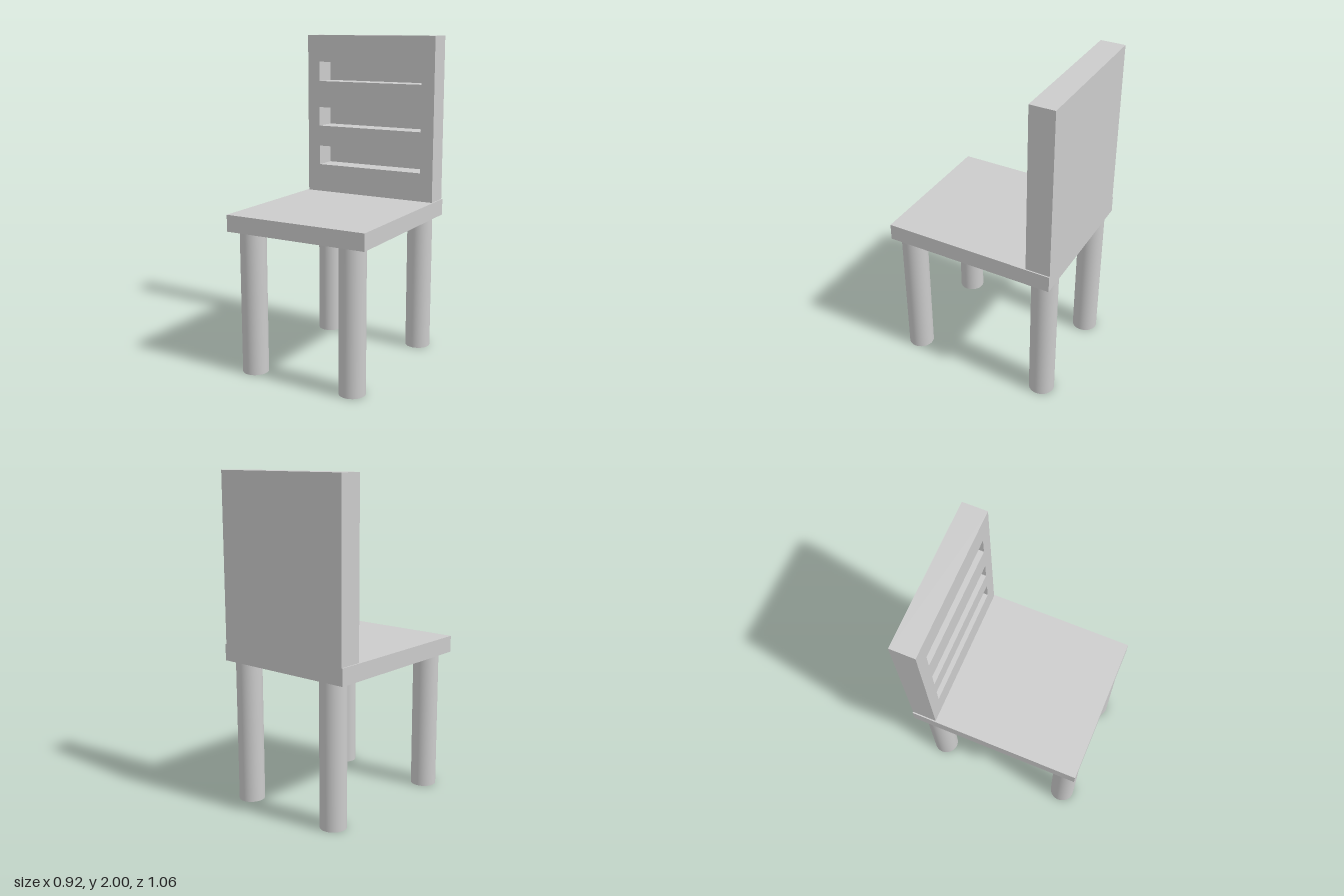
import * as THREE from 'three';

const material = new THREE.MeshStandardMaterial({ color: 0xcccccc });

function addMesh(group, name, geometry, x, y, z) {
  const mesh = new THREE.Mesh(geometry, material);
  mesh.name = name;
  mesh.position.set(x, y, z);
  group.add(mesh);
  return mesh;
}

// Rectangle outline from two opposite corners
function rectangle(PathType, x0, y0, x1, y1) {
  return new PathType([[x0, y0], [x1, y0], [x1, y1], [x0, y1]].map(([x, y]) => new THREE.Vector2(x, y)));
}

export function createModel() {
  const chair = new THREE.Group();
  chair.name = 'chair';

  const seatBottom = 0.873, seatTop = 0.975;
  const backZ = -0.528, backDepth = 0.15, skin = 0.008;

  // Seat slab
  addMesh(chair, 'seat', new THREE.BoxGeometry(0.916, seatTop - seatBottom, 1.056),
    0, (seatTop + seatBottom) / 2, 0);

  // Backrest with three deep slots, closed behind by a thin panel
  const outline = rectangle(THREE.Shape, -0.45, seatTop, 0.45, 2);
  for (const [low, high] of [[1.155, 1.28], [1.413, 1.535], [1.705, 1.83]]) {
    outline.holes.push(rectangle(THREE.Path, -0.365, low, 0.365, high));
  }
  addMesh(chair, 'backrest',
    new THREE.ExtrudeGeometry(outline, { depth: backDepth - skin, bevelEnabled: false }),
    0, 0, backZ + skin);
  addMesh(chair, 'backPanel', new THREE.BoxGeometry(0.9, 2 - seatTop, skin),
    0, (2 + seatTop) / 2, backZ + skin / 2);

  // Four round legs
  const legGeometry = new THREE.CylinderGeometry(0.079, 0.079, seatBottom, 48);
  const legs = [
    ['frontLeftLeg', 0.339, 0.443],
    ['frontRightLeg', -0.331, 0.443],
    ['backLeftLeg', 0.339, -0.449],
    ['backRightLeg', -0.324, -0.449],
  ];
  for (const [name, x, z] of legs) addMesh(chair, name, legGeometry, x, seatBottom / 2, z);

  return chair;
}
